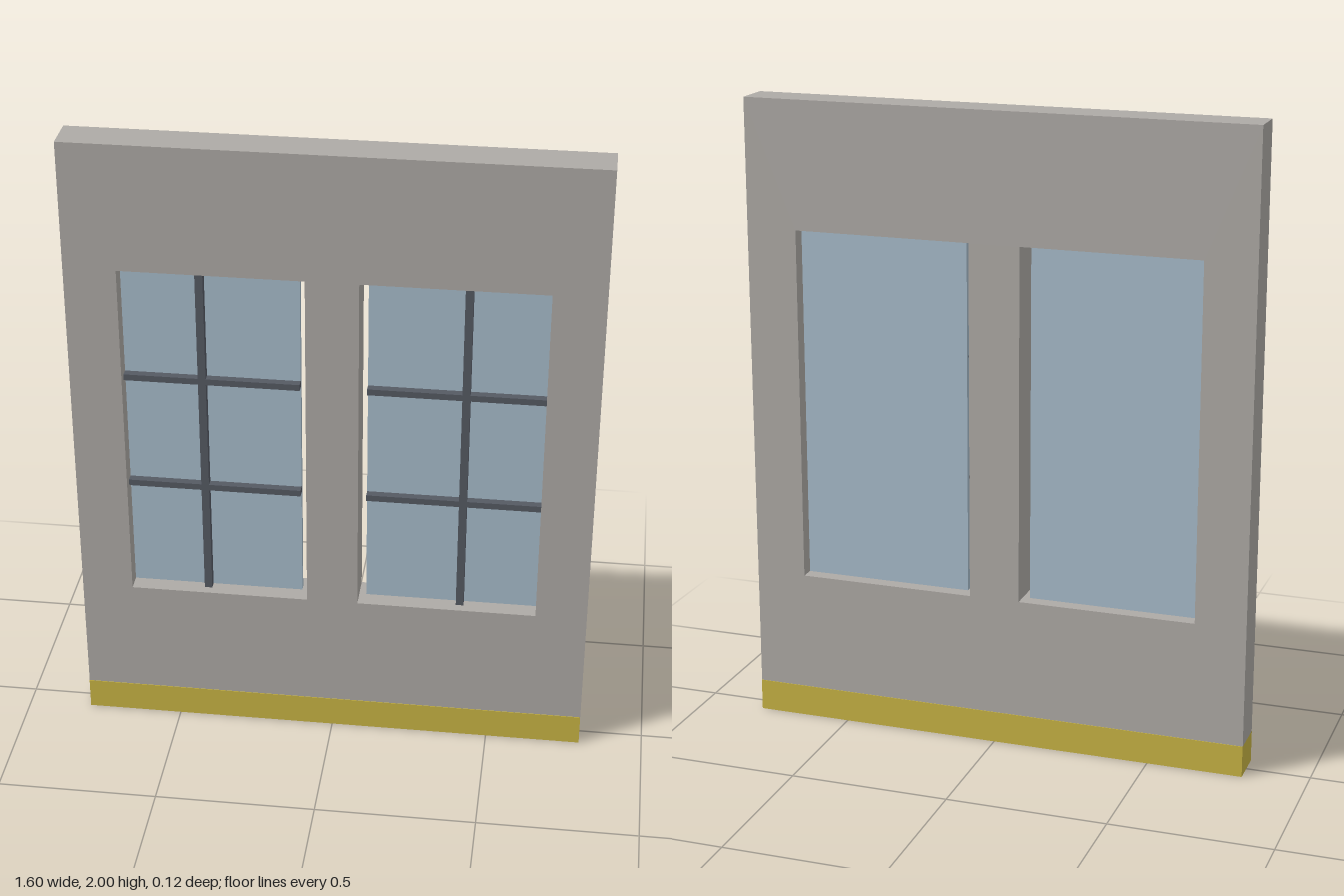
import * as THREE from 'three';

const mat = (name, color) => new THREE.MeshStandardMaterial({ name, color });

export function createModel() {
  const wallGrey = mat('wall grey', 0xaeaaa6);
  const glassBlue = mat('glass blue', 0xa8bccb);
  const barGrey = mat('dark bar grey', 0x555a63);
  const baseYellow = mat('base yellow', 0xc8b444);

  const model = new THREE.Group();
  model.name = 'wallPanel';

  const addBox = (parent, name, material, w, h, d, x, y, z) => {
    const mesh = new THREE.Mesh(new THREE.BoxGeometry(w, h, d), material);
    mesh.name = name;
    mesh.position.set(x, y, z);
    parent.add(mesh);
  };

  const bottom = 0.48, top = 1.6, baseHeight = 0.1, depth = 0.12;

  // Wall slab with two window openings
  const outline = new THREE.Shape();
  outline.moveTo(-0.8, baseHeight).lineTo(0.8, baseHeight).lineTo(0.8, 2).lineTo(-0.8, 2).closePath();
  for (const side of [-1, 1]) {
    const hole = new THREE.Path();
    hole.moveTo(side * 0.08, bottom).lineTo(side * 0.08, top);
    hole.lineTo(side * 0.64, top).lineTo(side * 0.64, bottom).closePath();
    outline.holes.push(hole);
  }
  const wallGeometry = new THREE.ExtrudeGeometry(outline, { depth, bevelEnabled: false });
  wallGeometry.translate(0, 0, -depth / 2);
  const wall = new THREE.Mesh(wallGeometry, wallGrey);
  wall.name = 'wall';
  model.add(wall);

  // Coloured base band, slightly proud of the wall
  addBox(model, 'baseBand', baseYellow, 1.6, baseHeight, depth + 0.004, 0, baseHeight / 2, 0);

  // Windows: the panes run into the wall on the outer side and leave a slit on the inner side
  const height = top - bottom, midY = (top + bottom) / 2;
  for (const side of [-1, 1]) {
    const win = new THREE.Group();
    win.name = side < 0 ? 'rightWindow' : 'leftWindow';
    win.position.set(side * 0.4, midY, 0);
    model.add(win);
    addBox(win, 'glass', glassBlue, 0.596, height + 0.02, 0.02, 0, 0, -0.005);
    addBox(win, 'verticalBar', barGrey, 0.024, height + 0.02, 0.03, 0, 0, 0.015);
    for (const row of [-1, 1]) {
      addBox(win, 'horizontalBar', barGrey, 0.596, 0.02, 0.03, 0, row * height / 6, 0.015);
    }
  }

  return model;
}
